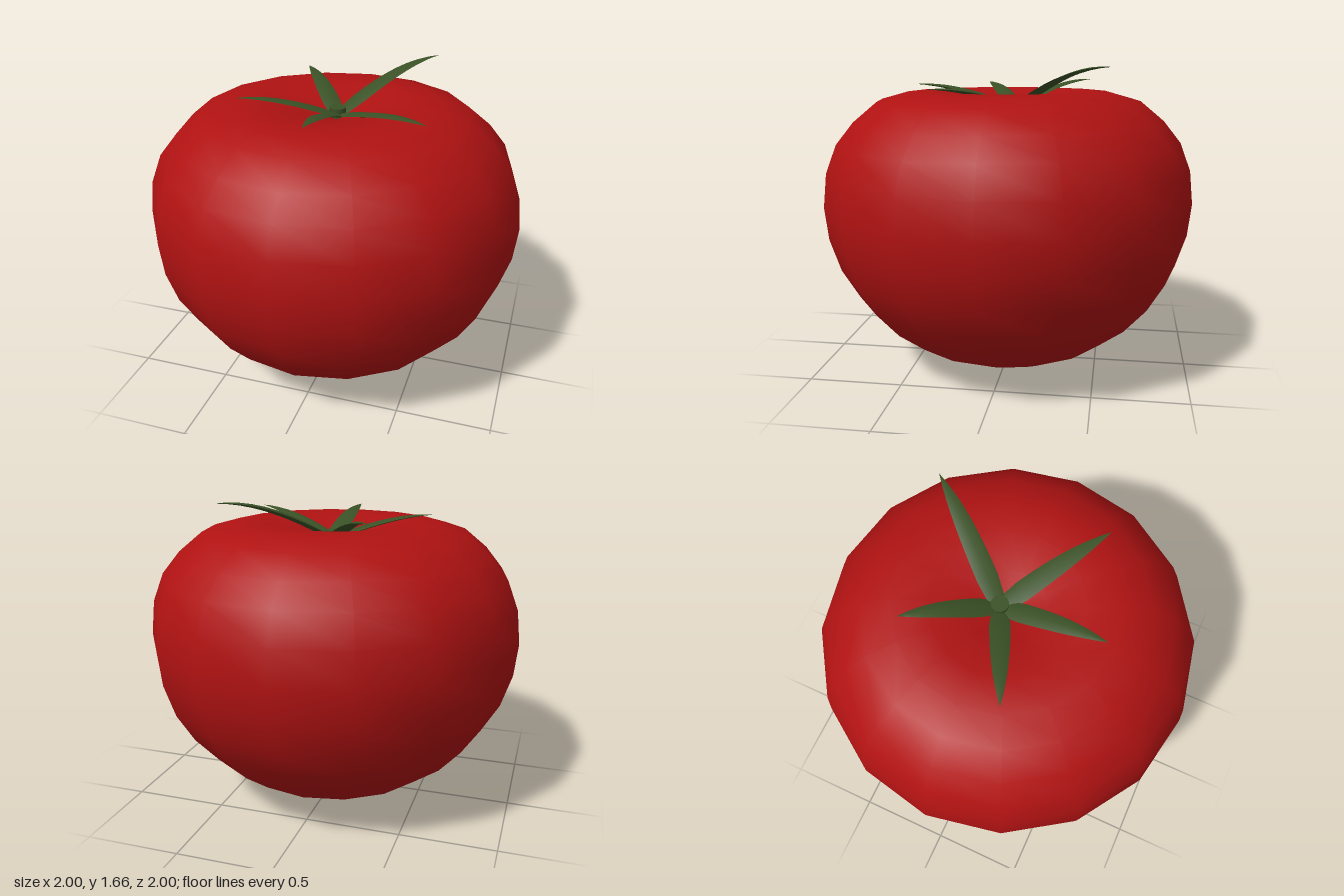
import * as THREE from 'three';
import { toCreasedNormals } from 'three/addons/utils/BufferGeometryUtils.js';

const STEM = new THREE.Vector3(0, 1.43, -0.04);

// Arched, pointed sepal with a thin diamond cross-section, swept from the stem to its tip
function sepalGeometry(tip) {
  const steps = 10;
  const dir = new THREE.Vector3(tip.x - STEM.x, 0, tip.z - STEM.z);
  const length = dir.length();
  dir.normalize();
  const side = dir.clone().cross(new THREE.Vector3(0, 1, 0));
  const halfWidth = 0.04 + 0.022 * length;
  const positions = [], index = [];
  for (let i = 0; i <= steps; i++) {
    const t = i / steps;
    const taper = Math.max(1 - t ** 3, 0.01) * (0.7 + 0.3 * Math.min(1, t * 5));
    const w = halfWidth * taper, h = 0.014 * taper;
    const x = STEM.x + dir.x * length * t;
    const z = STEM.z + dir.z * length * t;
    const y = STEM.y + (tip.y - STEM.y) * Math.sin(t * Math.PI / 2);
    // top ridge, right edge, underside, left edge
    for (const [s, u] of [[0, h], [w, 0], [0, -h], [-w, 0]]) {
      positions.push(x + side.x * s, y + u, z + side.z * s);
    }
  }
  for (let i = 0; i < steps; i++) {
    for (let k = 0; k < 4; k++) {
      const a = i * 4 + k, b = i * 4 + (k + 1) % 4;
      index.push(a, b, b + 4, a, b + 4, a + 4);
    }
  }
  const geometry = new THREE.BufferGeometry();
  geometry.setAttribute('position', new THREE.Float32BufferAttribute(positions, 3));
  geometry.setIndex(index);
  return toCreasedNormals(geometry, 0.7);
}

export function createModel() {
  const group = new THREE.Group();
  group.name = 'tomato';
  const red = new THREE.MeshStandardMaterial({ color: 0xb01212 });
  const green = new THREE.MeshStandardMaterial({ color: 0x3a5226 });

  // Fruit: sixteen-sided squat sphere with a dimple in the top
  const heights = [0, 0.025, 0.08, 0.16, 0.275, 0.415, 0.57, 0.745, 0.92,
    1.1, 1.25, 1.365, 1.468, 1.51, 1.518, 1.475, 1.42];
  const profile = heights.map((y, i) =>
    new THREE.Vector2(i % 16 ? Math.sin(i * Math.PI / 16) : 0, y));
  const fruit = new THREE.Mesh(new THREE.LatheGeometry(profile, 16), red);
  fruit.name = 'fruit';
  group.add(fruit);

  // Short stem stub
  const stem = new THREE.Mesh(
    toCreasedNormals(new THREE.CylinderGeometry(0.045, 0.04, 0.08, 12), 0.7), green);
  stem.name = 'stem';
  stem.position.set(STEM.x, 1.435, STEM.z);
  group.add(stem);

  // Five sepals, each given by its tip
  const tips = [
    [0.43, 1.655, -0.56], [-0.295, 1.57, -0.43], [-0.485, 1.545, 0.185],
    [0, 1.55, 0.51], [0.54, 1.548, 0.31],
  ];
  const calyx = new THREE.Group();
  calyx.name = 'calyx';
  for (const tip of tips) {
    const sepal = new THREE.Mesh(sepalGeometry(new THREE.Vector3(...tip)), green);
    sepal.name = 'sepal';
    calyx.add(sepal);
  }
  group.add(calyx);
  return group;
}
